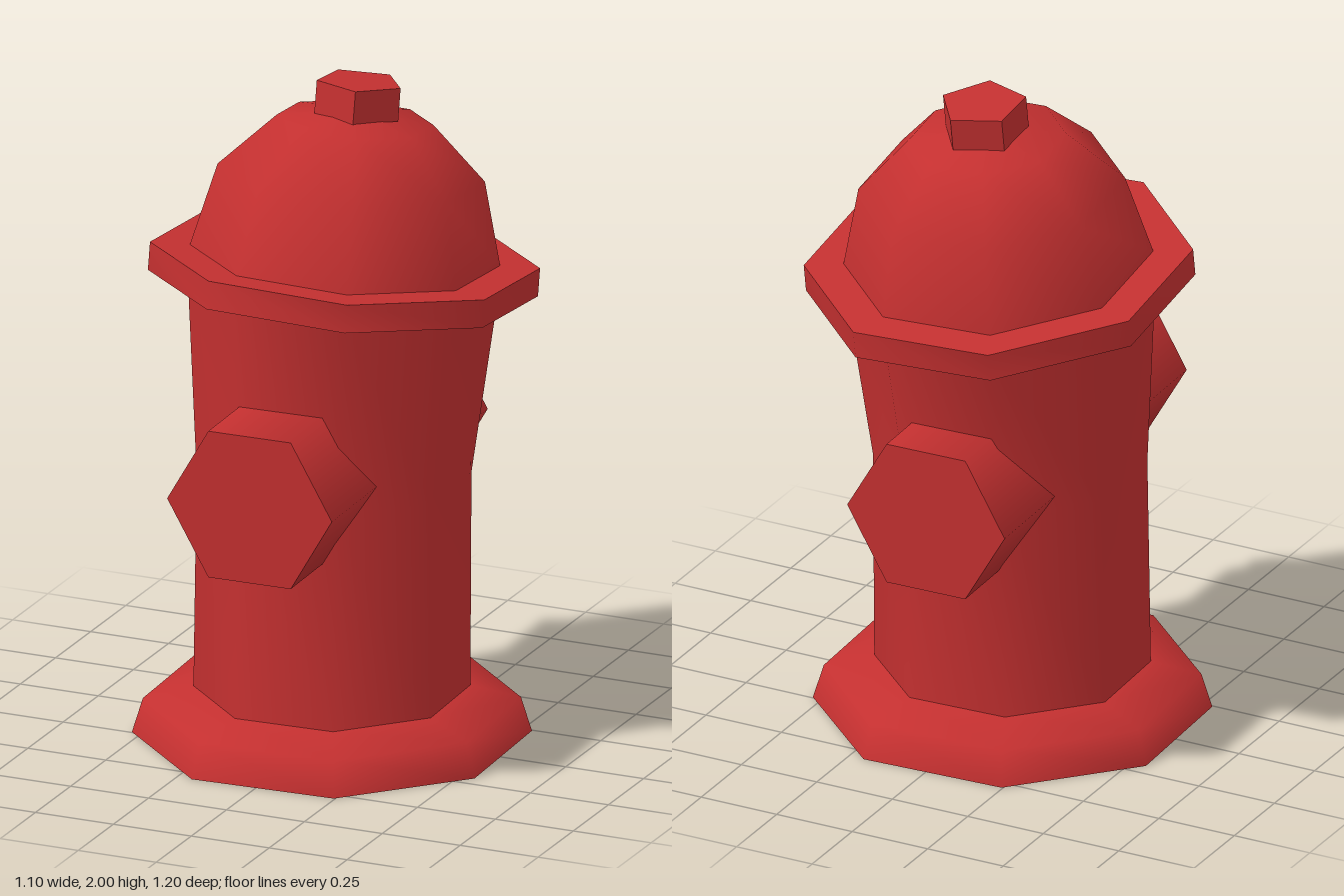
import * as THREE from 'three';
import { toCreasedNormals } from 'three/addons/utils/BufferGeometryUtils.js';

const SIDES = 8;
const PHASE = THREE.MathUtils.degToRad(24.8); // slight twist of the octagon
const HEAD = { pos: [0.015, 1.462, -0.06], tiltX: -0.106, tiltZ: -0.032 };

// Octagonal turned part from [radius, height] pairs, bottom to top
function turned(profile) {
  return new THREE.LatheGeometry(profile.map(([r, y]) => new THREE.Vector2(r, y)), SIDES, PHASE);
}

export function createModel() {
  const model = new THREE.Group();
  model.name = 'hydrant';
  const red = new THREE.MeshStandardMaterial({ color: 0xc43030, side: THREE.DoubleSide });
  red.name = 'hydrant red';

  function add(name, geometry, parent = model) {
    const mesh = new THREE.Mesh(geometry, red);
    mesh.name = name;
    parent.add(mesh);
    return mesh;
  }

  // Hollow foot, open underneath
  add('base', turned([[0.585, 0], [0.553, 0.105], [0.405, 0.143]]));

  // Barrel: leans back and its top rim is cut parallel to the tilted head
  const barrel = turned([[0.405, 0.143], [0.402, 0.8], [0.455, 1.38]]);
  const p = barrel.attributes.position;
  for (let i = 0; i < p.count; i++) {
    const x = p.getX(i), y = p.getY(i), z = p.getZ(i);
    if (y > 1.3) p.setXYZ(i, x + 0.012, y - x * 0.032 + z * 0.106, z - 0.053);
    else if (y > 0.5) p.setZ(i, z - 0.015);
  }
  // Welded smooth shading around the barrel
  add('barrel', toCreasedNormals(barrel, 1.15));

  // Tilted head: rim, dome and nut
  const head = new THREE.Group();
  head.name = 'head';
  head.position.set(...HEAD.pos);
  head.rotation.set(HEAD.tiltX, 0, HEAD.tiltZ);
  model.add(head);

  const rim = turned([[0.44, -0.085], [0.572, -0.085], [0.572, 0], [0.44, 0]]);
  add('rim', toCreasedNormals(rim, 1.15), head);

  add('dome', turned([[0.455, 0], [0.392, 0.25], [0.23, 0.41], [0, 0.447]]), head);

  const nut = new THREE.CylinderGeometry(0.13, 0.13, 0.1, 5, 1, false, Math.PI / 2);
  add('topNut', toCreasedNormals(nut, 0.5), head).position.set(0.003, 0.477, -0.008);

  // Six-sided outlets on the front and back
  const outlets = [
    ['frontOutlet', 0, 0.881, 0.262, 1],
    ['backOutlet', -0.025, 0.84, 0.258, -1],
  ];
  for (const [name, x, y, r, side] of outlets) {
    const pipe = new THREE.CylinderGeometry(r, r, 0.4, 6, 1, false, Math.PI / 2);
    pipe.rotateX(side * Math.PI / 2);
    const mesh = add(name, pipe);
    mesh.position.set(x, y, side * 0.395);
    mesh.rotation.y = 0.02;
  }

  return model;
}
